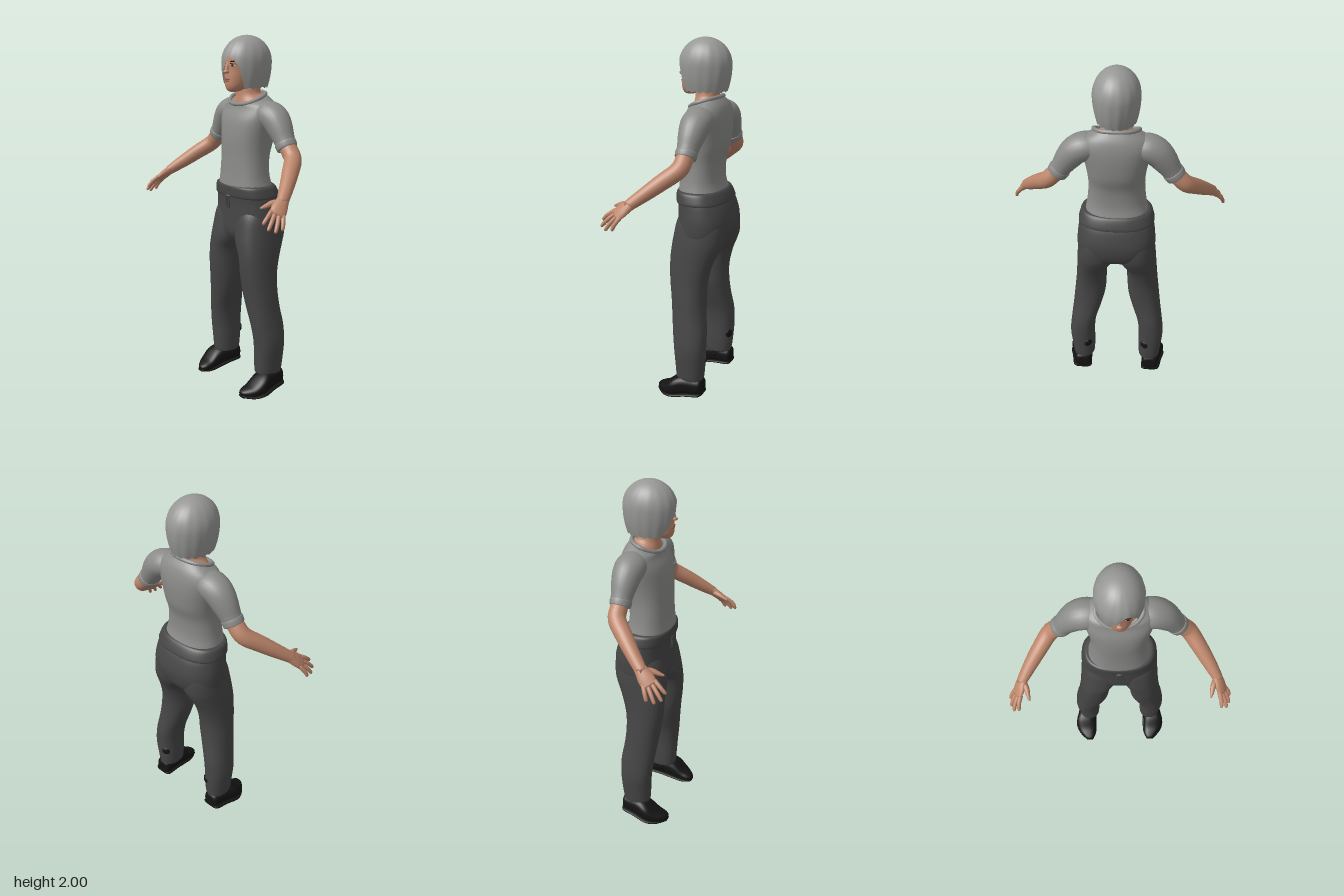
import * as THREE from 'three';

const V3 = (x, y, z) => new THREE.Vector3(x, y, z);
const UP = V3(0, 1, 0), FRONT = V3(0, 0, 1);

// Catmull-Rom blend of the columns of a table of cross-sections
function sample(rows, t) {
  const n = rows.length - 1, i = Math.min(Math.floor(t * n), n - 1), f = t * n - i;
  const [a, b, c, d] = [i - 1, i, i + 1, i + 2].map(k => rows[THREE.MathUtils.clamp(k, 0, n)]);
  return b.map((q, k) => q + 0.5 * f * (c[k] - a[k]
    + f * (2 * a[k] - 5 * q + 4 * c[k] - d[k] + f * (3 * (q - c[k]) + d[k] - a[k]))));
}

// Surface closed around i and open along j
function grid(nu, nv, point) {
  const pos = [], index = [];
  for (let j = 0; j <= nv; j++) for (let i = 0; i < nu; i++) pos.push(...point(i / nu, j / nv, j));
  for (let j = 0; j < nv; j++) for (let i = 0; i < nu; i++) {
    const a = j * nu + i, b = j * nu + (i + 1) % nu;
    index.push(a, b, b + nu, a, b + nu, a + nu);
  }
  const g = new THREE.BufferGeometry();
  g.setAttribute('position', new THREE.Float32BufferAttribute(pos, 3));
  g.setIndex(index);
  g.computeVertexNormals();
  return g;
}

// Capped loft; rows are [x, y, z, radiusU, radiusV, tilt]
function loft(rows, { ref = FRONT, axis = null, sides = 24, power = 2, steps = 4 } = {}) {
  const n = (rows.length - 1) * steps;
  const round = v => Math.sign(v) * Math.abs(v) ** (2 / power);
  return grid(sides, n + 2, (u, _, j) => {
    const t = THREE.MathUtils.clamp((j - 1) / n, 0, 1);
    const [x, y, z, ru, rv, tilt = 0] = sample(rows, t);
    const p = sample(rows, Math.max(t - 0.01, 0)), q = sample(rows, Math.min(t + 0.01, 1));
    const T = axis || V3(q[0] - p[0], q[1] - p[1], q[2] - p[2]).normalize();
    const U = T.clone().cross(ref).normalize(), V = U.clone().cross(T);
    const k = j === 0 || j === n + 2 ? 0 : 1, a = u * Math.PI * 2;
    return V3(x, y - k * tilt * Math.cos(a), z)
      .addScaledVector(U, k * ru * round(Math.sin(a)))
      .addScaledVector(V, k * rv * round(Math.cos(a))).toArray();
  });
}

// Upright loft; rows are [y, xMin, xMax, zFront, zBack, tilt], from the bottom up
const upright = (rows, power = 2, sides = 40) => loft(rows.map(([y, a, b, f, k, tilt = 0]) =>
  [(a + b) / 2, y, (f + k) / 2, (b - a) / 2, (f - k) / 2, tilt]), { axis: UP, power, sides });
const centred = (rows, power, sides) => upright(rows.map(([y, w, ...r]) => [y, -w, w, ...r]), power, sides);

function mirrored(geo) {
  const g = geo.clone().scale(-1, 1, 1);
  g.setIndex(Array.from(g.index.array).reverse());
  return g;
}

const blob = (x, y, z, rx, ry, rz, turn = 0, roll = 0) =>
  new THREE.SphereGeometry(1, 16, 12).scale(rx, ry, rz).rotateZ(roll).rotateY(turn).translate(x, y, z);

export function createModel() {
  const model = new THREE.Group();
  model.name = 'standingPerson';
  const material = (name, color, side = THREE.FrontSide) => {
    const m = new THREE.MeshStandardMaterial({ color, side });
    m.name = name;
    return m;
  };
  const skin = material('skin', 0xbd866b), shirt = material('shirtGrey', 0x8b8b89);
  const hair = material('hairGrey', 0x979796, THREE.DoubleSide), pants = material('trouserGrey', 0x464647);
  const black = material('shoeBlack', 0x141414), lip = material('lipRose', 0x9a5e4e);
  const white = material('eyeWhite', 0xd0c8c0), dark = material('browBrown', 0x2a1d18);

  const add = (name, geo, mat) => {
    const m = new THREE.Mesh(geo, mat);
    m.name = name;
    model.add(m);
  };
  const pair = (name, geo, mat) => {
    add('left' + name, geo, mat);
    add('right' + name, mirrored(geo), mat);
  };

  // Shirt body and collar
  add('shirtBody', centred([
    [1.165, .168, .046, -.19], [1.18, .172, .052, -.196], [1.25, .158, .046, -.178], [1.35, .15, .042, -.182],
    [1.43, .155, .042, -.205], [1.5, .167, .037, -.213], [1.56, .18, .025, -.214], [1.61, .185, .002, -.208],
    [1.645, .163, -.005, -.192, .012], [1.668, .118, -.008, -.162, .03]], 2.3, 48), shirt);
  const half = [[.075, 1.645, -.022], [.117, 1.672, -.075], [.085, 1.692, -.142]];
  const ring = [V3(0, 1.636, -.004), ...half.map(p => V3(...p)), V3(0, 1.697, -.163),
    ...half.slice().reverse().map(([x, y, z]) => V3(-x, y, z))];
  add('collar', new THREE.TubeGeometry(new THREE.CatmullRomCurve3(ring, true), 64, .011, 8, true), shirt);

  // Sleeves with hem bands
  pair('Sleeve', loft([
    [.1, 1.59, -.108, .06, .07], [.155, 1.588, -.11, .073, .083], [.205, 1.565, -.112, .075, .08],
    [.245, 1.52, -.112, .069, .07], [.28, 1.468, -.111, .057, .058], [.306, 1.428, -.11, .051, .052]]), shirt);
  pair('SleeveHem', loft([
    [.29, 1.452, -.11, .05, .05], [.292, 1.449, -.11, .058, .058],
    [.308, 1.425, -.11, .056, .056], [.31, 1.422, -.11, .05, .05]]), shirt);

  // Arms, hands and fingers
  pair('Arm', loft([
    [.27, 1.478, -.11, .044, .044], [.32, 1.42, -.11, .046, .046], [.365, 1.372, -.1, .045, .047],
    [.42, 1.317, -.035, .042, .044], [.47, 1.263, .03, .037, .038], [.515, 1.213, .092, .028, .032],
    [.522, 1.205, .1, .026, .03]]), skin);
  const across = V3(-.48, .33, .81), backOfHand = V3(.7, .555, .19);
  pair('Palm', loft([
    [.508, 1.222, .08, .03, .025], [.522, 1.202, .105, .035, .023],
    [.538, 1.176, .135, .042, .019], [.552, 1.15, .163, .04, .014]], { ref: backOfHand }), skin);
  [['Index', .031, [.545, 1.118, .243]], ['Middle', .011, [.576, 1.092, .235]],
    ['Ring', -.01, [.593, 1.079, .203]], ['Little', -.03, [.597, 1.085, .162]]].forEach(([name, offset, tip]) => {
    const base = V3(.545, 1.162, .152).addScaledVector(across, offset), end = V3(...tip);
    const mid = base.clone().lerp(end, .55).addScaledVector(backOfHand, .006);
    pair(name + 'Finger', loft([
      [...base.toArray(), .012, .012], [...mid.toArray(), .011, .011],
      [...base.clone().lerp(end, .92).toArray(), .009, .009], [...tip, .004, .004]],
    { ref: backOfHand, sides: 10, steps: 3 }), skin);
  });
  pair('Thumb', loft([
    [.52, 1.203, .1, .016, .016], [.498, 1.202, .14, .016, .015], [.489, 1.19, .178, .012, .011],
    [.481, 1.18, .208, .005, .005]], { ref: backOfHand, sides: 10, steps: 3 }), skin);

  // Trousers: hips, waistband, cords and legs
  add('trouserHips', centred([
    [.88, .13, .02, -.18], [.93, .205, .042, -.235], [1.02, .214, .042, -.255], [1.1, .206, .042, -.238],
    [1.15, .197, .046, -.215], [1.19, .182, .045, -.195]], 2.4, 48), pants);
  add('waistband', centred([
    [1.13, .192, .038, -.215], [1.136, .206, .053, -.228], [1.165, .2, .056, -.218],
    [1.19, .191, .055, -.204], [1.198, .178, .045, -.194]], 2.4, 48), pants);
  add('cordKnot', blob(0, 1.135, .053, .022, .009, .008), pants);
  pair('Cord', loft([[.006, 1.138, .054, .005, .005], [.012, 1.1, .053, .005, .005],
    [.01, 1.065, .05, .004, .004]], { sides: 8 }), pants);
  pair('TrouserLeg', upright([
    [.115, .142, .258, -.012, -.156], [.125, .137, .264, -.005, -.163], [.2, .134, .272, 0, -.171],
    [.3, .134, .28, .006, -.176], [.4, .123, .27, .018, -.176], [.5, .092, .257, .03, -.162],
    [.6, .067, .246, .042, -.155], [.7, .06, .235, .055, -.16], [.8, .05, .227, .06, -.186],
    [.87, .012, .222, .06, -.217], [.93, -.004, .217, .053, -.236], [1.02, -.01, .205, .036, -.235],
    [1.08, .01, .18, .01, -.2]], 2.3), pants);

  // Shoes, and the dark spots on the calves
  pair('Shoe', loft([
    [.206, .07, -.168, .025, .03], [.207, .078, -.158, .046, .046], [.211, .08, -.11, .054, .052],
    [.22, .078, -.05, .06, .056], [.227, .062, 0, .064, .052], [.221, .038, .05, .057, .034],
    [.211, .029, .085, .043, .026], [.205, .027, .108, .024, .016], [.204, .027, .115, .01, .007]],
  { ref: UP, axis: FRONT, power: 2.6, sides: 28 }), black);
  pair('ShoeSole', loft([
    [.208, .04, -.168, .04, .008], [.21, .037, -.15, .056, .01], [.218, .03, -.08, .061, .01],
    [.227, .017, 0, .068, .01], [.218, .01, .06, .056, .009], [.205, .013, .112, .022, .007]],
  { ref: UP, axis: FRONT, power: 3, sides: 28 }), black);
  pair('Ankle', upright([[.07, .158, .25, -.015, -.15], [.15, .158, .25, -.025, -.148]]), black);
  pair('CalfSpot', blob(.169, .24, -.164, .025, .025, .009, Math.atan2(-.5, -.87)), black);

  // Neck and head
  add('neck', centred([
    [1.645, .113, -.014, -.155, .03], [1.668, .095, -.018, -.152, .024], [1.69, .07, -.024, -.154, .008],
    [1.72, .062, -.026, -.157], [1.77, .06, -.03, -.16]]), skin);
  add('head', centred([
    [1.704, .02, .032, -.01], [1.712, .036, .045, -.04], [1.735, .056, .055, -.09], [1.775, .073, .056, -.15],
    [1.82, .083, .053, -.18], [1.87, .086, .053, -.19], [1.92, .08, .04, -.185], [1.96, .05, 0, -.15]], 2.1), skin);

  // Face
  add('noseTip', blob(0, 1.811, .058, .016, .011, .019), skin);
  add('noseBridge', loft([[0, 1.81, .058, .012, .012], [0, 1.835, .053, .009, .011],
    [0, 1.86, .046, .008, .008]], { sides: 12 }), skin);
  add('upperLip', blob(0, 1.773, .053, .024, .005, .008), lip);
  add('lowerLip', blob(0, 1.764, .052, .02, .006, .008), lip);
  pair('EyeWhite', blob(.038, 1.845, .042, .017, .007, .006, .4), white);
  pair('Iris', blob(.038, 1.845, .046, .008, .007, .004, .4), dark);
  pair('UpperLid', blob(.038, 1.852, .043, .02, .0035, .006, .4, -.08), dark);
  pair('Brow', blob(.04, 1.867, .042, .023, .004, .006, .4, .12), dark);

  // Bobbed hair with a fringe swept over one eye
  const hemline = [[-180, 1.725], [-45, 1.722], [-34, 1.742], [14, 1.9], [40, 1.845], [51, 1.725], [180, 1.725]];
  const hem = deg => {
    const i = Math.max(1, hemline.findIndex(h => deg <= h[0]));
    const [a, b] = [hemline[i - 1], hemline[i]];
    return THREE.MathUtils.lerp(a[1], b[1], (deg - a[0]) / (b[0] - a[0]));
  };
  add('hair', grid(120, 32, (u, v) => {
    const a = (u * 2 - 1) * Math.PI;
    const y = 2 - (2 - hem(a * 180 / Math.PI) - .004 * Math.sin(a * 18)) * v ** 1.8;
    const t = (y - 1.86) / .14;
    const k = t > 0 ? Math.sqrt(Math.max(0, 1 - t * t)) : 1 - .17 * t * t;
    const strand = 1 + .009 * v * Math.sin(a * 15 + 3 * v);
    return [.121 * k * strand * Math.sin(a), y, -.077 + .144 * k * strand * Math.cos(a)];
  }).scale(1, 1, 1), hair);
  // The hair runs from the crown down, so its faces are turned outward
  const hairGeo = model.getObjectByName('hair').geometry;
  hairGeo.setIndex(Array.from(hairGeo.index.array).reverse());
  hairGeo.computeVertexNormals();

  return model;
}
